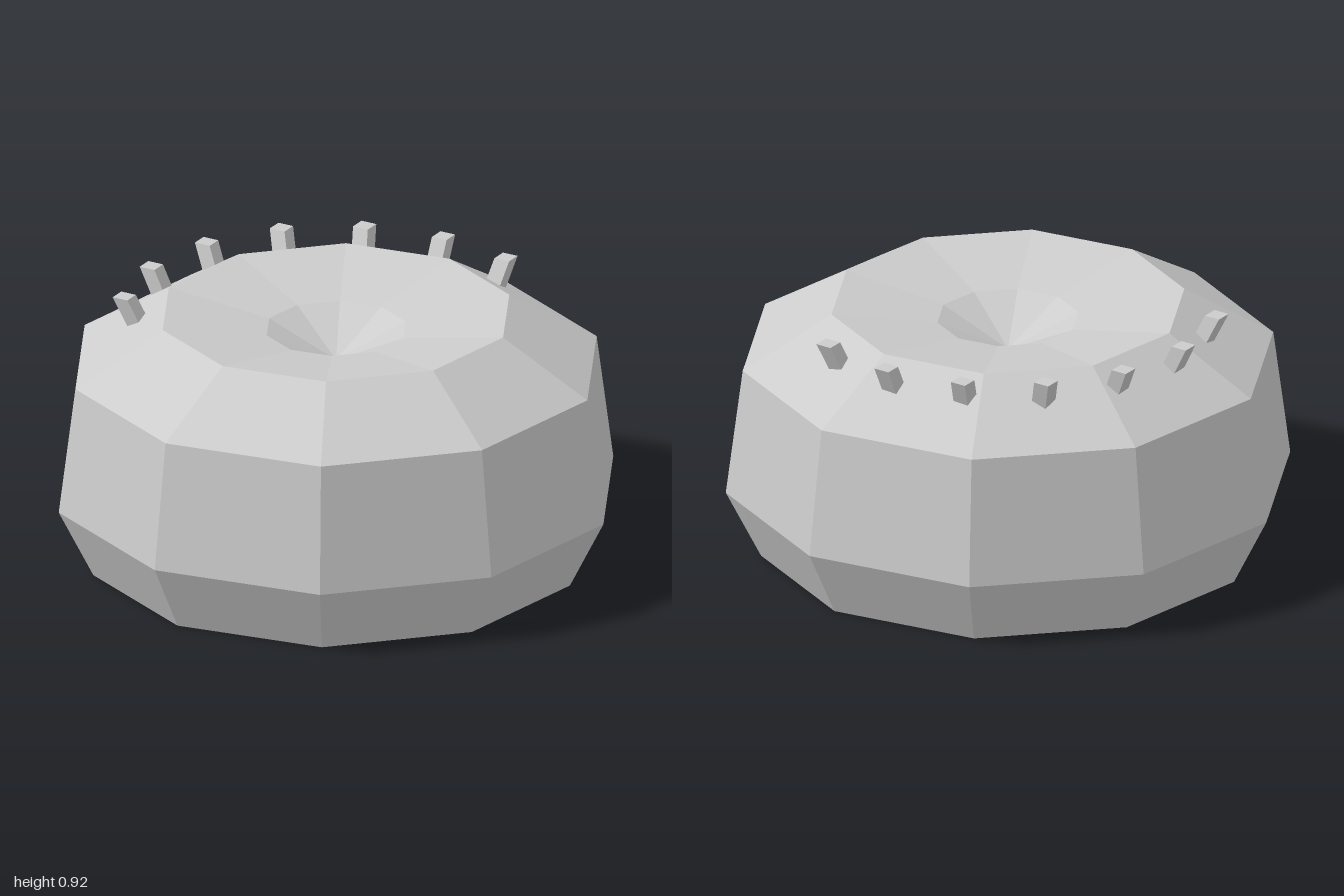
import * as THREE from 'three';

export function createModel() {
  const model = new THREE.Group();
  model.name = 'peggedBowl';

  const grey = new THREE.MeshStandardMaterial({ color: 0xcccccc, flatShading: true, side: THREE.DoubleSide });
  grey.name = 'grey';

  // Ten-sided shell, open underneath, with a dished top
  const profile = [
    [0.875, 0], [1, 0.25], [0.94, 0.71], [0.625, 0.9], [0.25, 0.84], [0, 0.72],
  ].map(([r, y]) => new THREE.Vector2(r, y));
  const shell = new THREE.Mesh(new THREE.LatheGeometry(profile, 10, Math.PI / 2), grey);
  shell.name = 'shell';
  model.add(shell);

  // Seven square pegs around the back, leaning outwards through the shell
  const bottom = { r: 0.42, y: 0.25 };
  const top = { r: 0.745, y: 0.92 };
  const height = top.y - bottom.y;
  const pegs = new THREE.Group();
  pegs.name = 'pegs';
  for (let i = -3; i <= 3; i++) {
    const angle = i * Math.PI / 8;
    const dx = Math.sin(angle), dz = -Math.cos(angle);
    const geometry = new THREE.CylinderGeometry(0.042, 0.042, height, 4);
    geometry.translate(0, height / 2, 0);
    // Shear keeps the peg ends level
    const pos = geometry.attributes.position;
    for (let v = 0; v < pos.count; v++) {
      const r = THREE.MathUtils.lerp(bottom.r, top.r, pos.getY(v) / height);
      pos.setX(v, pos.getX(v) + r * dx);
      pos.setZ(v, pos.getZ(v) + r * dz);
    }
    geometry.translate(0, bottom.y, 0);
    geometry.computeVertexNormals();
    const peg = new THREE.Mesh(geometry, grey);
    peg.name = 'peg' + (i + 4);
    pegs.add(peg);
  }
  model.add(pegs);

  return model;
}
